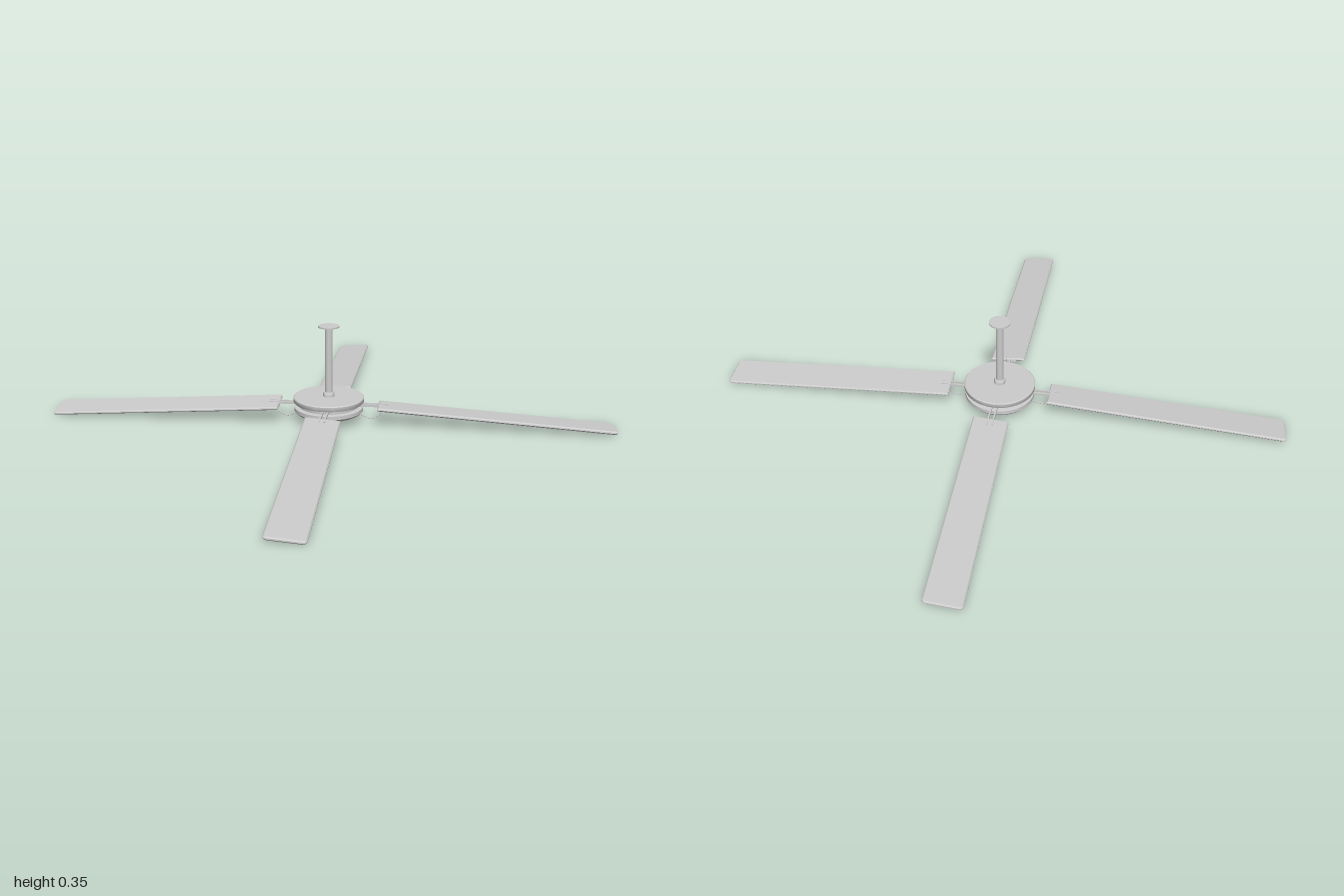
import * as THREE from 'three';
import { toCreasedNormals } from 'three/addons/utils/BufferGeometryUtils.js';

const grey = new THREE.MeshStandardMaterial({ color: 0xcccccc, side: THREE.DoubleSide });

function part(parent, name, geometry, x = 0, y = 0, z = 0) {
  const mesh = new THREE.Mesh(geometry, grey);
  mesh.name = name;
  mesh.position.set(x, y, z);
  parent.add(mesh);
  return mesh;
}

// Solid of revolution with crisp rims
function turned(points, sides = 48) {
  const profile = points.map(([r, y]) => new THREE.Vector2(r, y));
  return toCreasedNormals(new THREE.LatheGeometry(profile, sides), 0.6);
}

// Flat blade along +x: rounded corners and a small chamfer all round
function bladeGeometry(length) {
  const b = 0.004, w = 0.0615 - b, r = 0.01, x0 = b, x1 = length - b;
  const s = new THREE.Shape();
  s.moveTo(x0, -w);
  s.lineTo(x1 - r, -w);
  s.quadraticCurveTo(x1, -w, x1, -w + r);
  s.lineTo(x1, w - r);
  s.quadraticCurveTo(x1, w, x1 - r, w);
  s.lineTo(x0, w);
  s.closePath();
  const g = new THREE.ExtrudeGeometry(s, {
    depth: 0.004, bevelEnabled: true, bevelThickness: b, bevelSize: b, bevelSegments: 1, curveSegments: 6,
  });
  g.translate(0, 0, -0.002);
  g.rotateX(-Math.PI / 2);
  return g;
}

// Blade with its arm, clamp plate and safety wire, pointing along +x
function bladeAssembly(tip) {
  const g = new THREE.Group();
  const inner = 0.175;
  const blade = part(g, 'blade', bladeGeometry(tip - inner), inner, 0.065, 0);
  blade.rotation.set(-0.08, 0, -0.063, 'ZXY');

  for (const z of [-0.009, 0.009]) {
    part(g, 'arm', new THREE.BoxGeometry(0.12, 0.008, 0.005), 0.15, 0.067, z);
  }
  const plate = part(g, 'clampPlate', new THREE.BoxGeometry(0.05, 0.004, 0.06), 0.2, 0.057, 0);
  plate.rotation.copy(blade.rotation);
  for (const z of [-0.02, 0.02]) {
    part(g, 'clampBolt', new THREE.CylinderGeometry(0.004, 0.004, 0.006, 10), 0.205, 0.0545 + z * 0.08, z);
  }

  const wire = new THREE.CatmullRomCurve3([
    [0.1, 0.045], [0.118, 0.029], [0.145, 0.018], [0.17, 0.024], [0.187, 0.042], [0.19, 0.058],
  ].map(([x, y]) => new THREE.Vector3(x, y, 0)));
  part(g, 'safetyWire', new THREE.TubeGeometry(wire, 24, 0.0016, 6));
  return g;
}

export function createModel() {
  const model = new THREE.Group();
  model.name = 'ceilingFan';
  const fan = new THREE.Group();
  fan.name = 'fan';
  fan.position.z = -0.02;
  model.add(fan);

  // Motor housing: two discs with a groove between them
  part(fan, 'motorHousing', turned([
    [0, 0.035], [0.108, 0.035], [0.116, 0.039], [0.122, 0.046], [0.122, 0.059], [0.106, 0.061],
    [0.106, 0.074], [0.123, 0.076], [0.125, 0.079], [0.125, 0.092], [0.122, 0.095], [0, 0.095],
  ]));
  for (let i = 0; i < 4; i++) {
    const a = Math.PI / 4 + i * Math.PI / 2;
    part(fan, 'housingScrew', new THREE.CylinderGeometry(0.005, 0.005, 0.004, 12),
      0.085 * Math.cos(a), 0.034, 0.085 * Math.sin(a));
  }

  // Down rod with base collar and ceiling flange
  part(fan, 'rodCollar', turned([[0.02, 0.094], [0.02, 0.106], [0.017, 0.111], [0.012, 0.111]], 24));
  part(fan, 'downRod', new THREE.CylinderGeometry(0.013, 0.013, 0.255, 24), 0, 0.22, 0);
  part(fan, 'ceilingFlange', new THREE.CylinderGeometry(0.037, 0.037, 0.005, 32), 0, 0.3485, 0);

  // Four blades; the rear one reaches slightly less far
  [1, 0.96, 1, 0.998].forEach((tip, i) => {
    const assembly = bladeAssembly(tip);
    assembly.name = 'bladeAssembly' + (i + 1);
    assembly.rotation.y = i * Math.PI / 2;
    fan.add(assembly);
  });
  return model;
}
